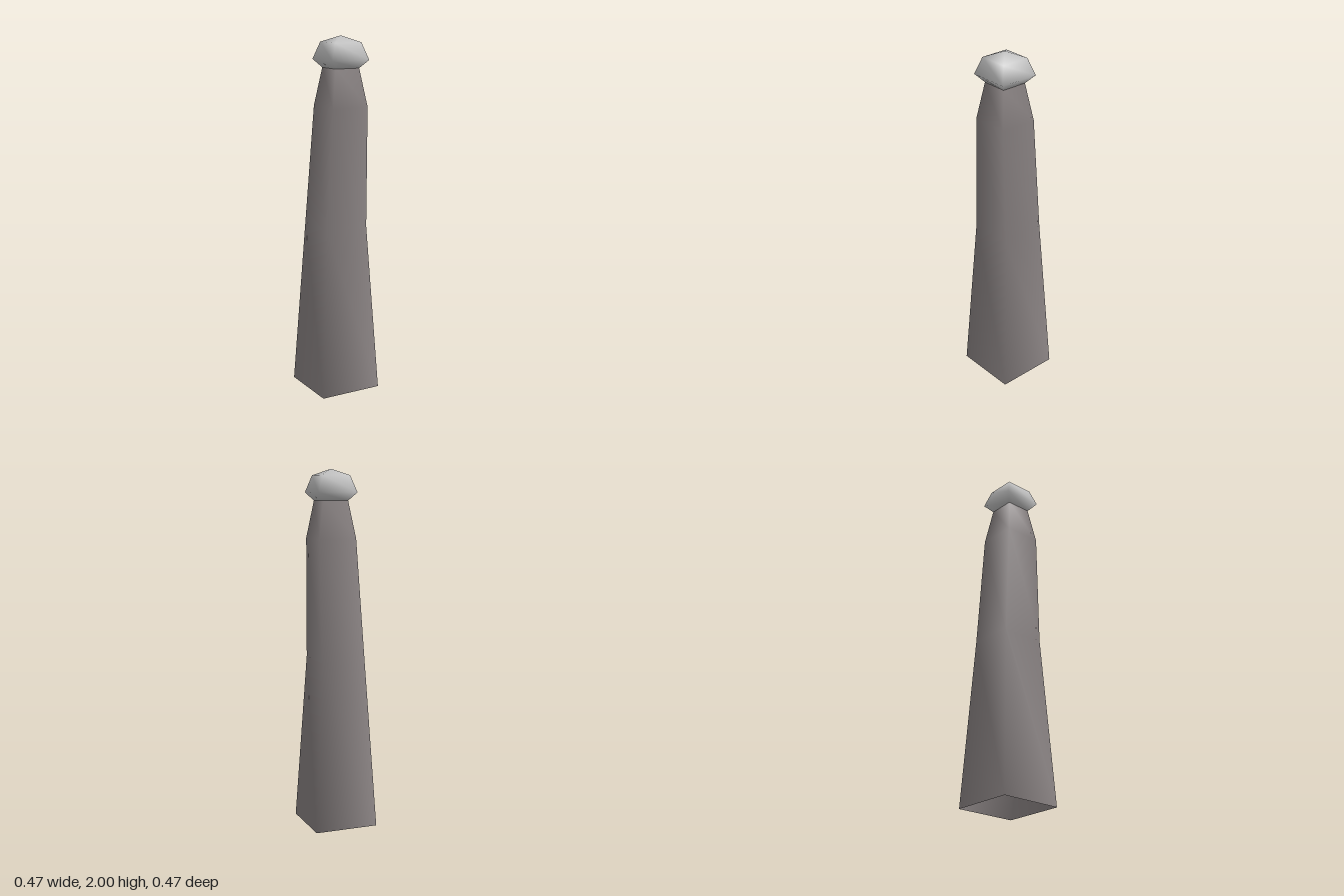
import * as THREE from 'three';
import { mergeVertices } from 'three/addons/utils/BufferGeometryUtils.js';

// Four-sided smooth loft; each ring is [radius, y, z offset]
function squareLoft(rings) {
  const points = rings.map(([r, y]) => new THREE.Vector2(r, y));
  let geo = new THREE.LatheGeometry(points, 4, Math.PI / 8);
  const pos = geo.attributes.position;
  for (let i = 0; i < pos.count; i++) {
    pos.setZ(i, pos.getZ(i) + rings[i % rings.length][2]);
  }
  // Weld the seam so the shading runs smoothly around the corners
  geo.deleteAttribute('uv');
  geo.deleteAttribute('normal');
  geo = mergeVertices(geo, 1e-4);
  geo.computeVertexNormals();
  return geo;
}

export function createModel() {
  const group = new THREE.Group();
  group.name = 'post';

  const darkStone = new THREE.MeshStandardMaterial({ color: 0x8c8585, side: THREE.DoubleSide });
  darkStone.name = 'dark warm grey';
  const paleStone = new THREE.MeshStandardMaterial({ color: 0xc4c4c4, side: THREE.DoubleSide });
  paleStone.name = 'pale grey';

  // Tapered shaft, open underneath, its upper half leaning forward
  const shaft = new THREE.Mesh(squareLoft([
    [0.255, 0, 0],
    [0.178, 0.95, 0],
    [0.152, 1.62, 0.035],
    [0.103, 1.83, 0.035],
  ]), darkStone);
  shaft.name = 'shaft';

  // Faceted knob on top
  const knob = new THREE.Mesh(squareLoft([
    [0.103, 1.827, 0.035],
    [0.159, 1.872, 0.035],
    [0.115, 1.965, 0.035],
    [0, 2, 0.035],
  ]), paleStone);
  knob.name = 'knob';

  group.add(shaft, knob);
  return group;
}
